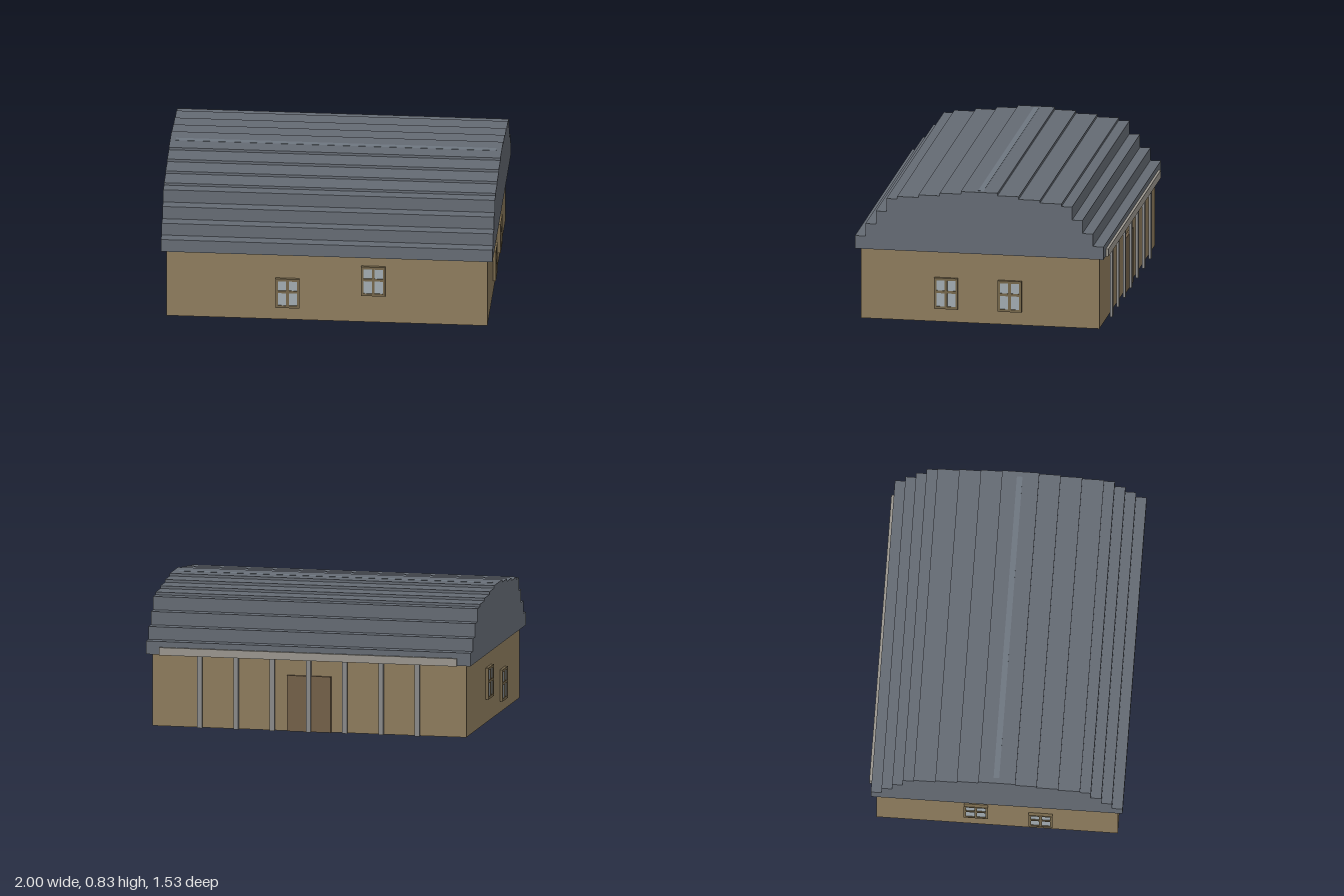
import * as THREE from 'three';

const mat = (color) => new THREE.MeshStandardMaterial({ color });
const wallMat = mat(0x8f7d5e);
const frameMat = mat(0x76674b);
const glassMat = mat(0xa3adb2);
const roofMat = mat(0x666c75);
const ridgeMat = mat(0x707982);
const doorMat = mat(0x75624a);
const postMat = mat(0x8c8c8c);
const beamMat = mat(0x9c9890);

const ZC = 0.0075; // house centre, shifted forward by the rear beam
const HX = 0.967, HZ = 0.728, EAVE = 0.44;

function box(name, material, w, h, d, x, y, z) {
  const mesh = new THREE.Mesh(new THREE.BoxGeometry(w, h, d), material);
  mesh.name = name;
  mesh.position.set(x, y, z);
  return mesh;
}

// Barrel-like roof: a stepped profile extruded along x
function buildRoof() {
  const steps = [ // half width, top height of each step
    [0.759, 0.52], [0.695, 0.598], [0.631, 0.679], [0.567, 0.76],
    [0.502, 0.776], [0.371, 0.792], [0.241, 0.809], [0.112, 0.825],
  ];
  const side = [];
  let y = EAVE;
  for (const [w, top] of steps) {
    side.push([w, y], [w, top]);
    y = top;
  }
  const mirrored = side.map(([w, h]) => [-w, h]).reverse();
  const shape = new THREE.Shape([...side, ...mirrored].map(([a, b]) => new THREE.Vector2(a, b)));
  const geo = new THREE.ExtrudeGeometry(shape, { depth: 2, bevelEnabled: false });
  geo.rotateY(-Math.PI / 2);
  geo.translate(1, 0, ZC);
  const roof = new THREE.Mesh(geo, roofMat);
  roof.name = 'steppedRoof';
  return roof;
}

// Four-pane window facing +z, its back on z = 0 and its centre at the origin
function buildWindow() {
  const W = 0.145, H = 0.193, depth = 0.018;
  const rect = (path, x, y, w, h) =>
    path.moveTo(x, y).lineTo(x + w, y).lineTo(x + w, y + h).lineTo(x, y + h).closePath();
  const shape = new THREE.Shape();
  rect(shape, -W / 2, -H / 2, W, H);
  for (const x of [-0.058, 0.008]) {
    for (const [y, h] of [[-0.081, 0.083], [0.018, 0.063]]) {
      const hole = new THREE.Path();
      rect(hole, x, y, 0.05, h);
      shape.holes.push(hole);
    }
  }
  const frame = new THREE.Mesh(
    new THREE.ExtrudeGeometry(shape, { depth, bevelEnabled: false }), frameMat);
  frame.name = 'windowFrame';
  const group = new THREE.Group();
  group.name = 'window';
  group.add(frame, box('windowGlass', glassMat, W - 0.01, H - 0.01, 0.012, 0, 0, 0.006));
  return group;
}

export function createModel() {
  const model = new THREE.Group();
  model.name = 'house';

  model.add(box('walls', wallMat, HX * 2, EAVE, HZ * 2, 0, EAVE / 2, ZC));
  model.add(buildRoof());
  model.add(box('ridgeStrip', ridgeMat, HX * 2, 0.004, 0.034, 0, 0.8245, 0.003));

  // Windows: x, y, z, turn about y
  const front = ZC + HZ, turn = Math.PI / 2;
  const windows = [
    [-0.237, 0.179, front, 0], [0.28, 0.277, front, 0],
    [HX, 0.179, 0.214, turn], [HX, 0.179, -0.175, turn],
    [-HX, 0.163, 0.27, -turn], [-HX, 0.239, -0.12, -turn],
  ];
  for (const [x, y, z, angle] of windows) {
    const win = buildWindow();
    win.position.set(x, y, z);
    win.rotation.y = angle;
    model.add(win);
  }

  // Rear door, with a beam carried by a row of posts
  model.add(box('door', doorMat, 0.27, 0.34, 0.02, 0, 0.17, -0.727));
  for (let i = -3; i <= 3; i++) {
    model.add(box('porchPost', postMat, 0.03, 0.45, 0.015, i * 0.2235, 0.225, -0.7435));
  }
  model.add(box('porchBeam', beamMat, 1.834, 0.047, 0.03, 0, 0.462, -0.752));

  return model;
}
